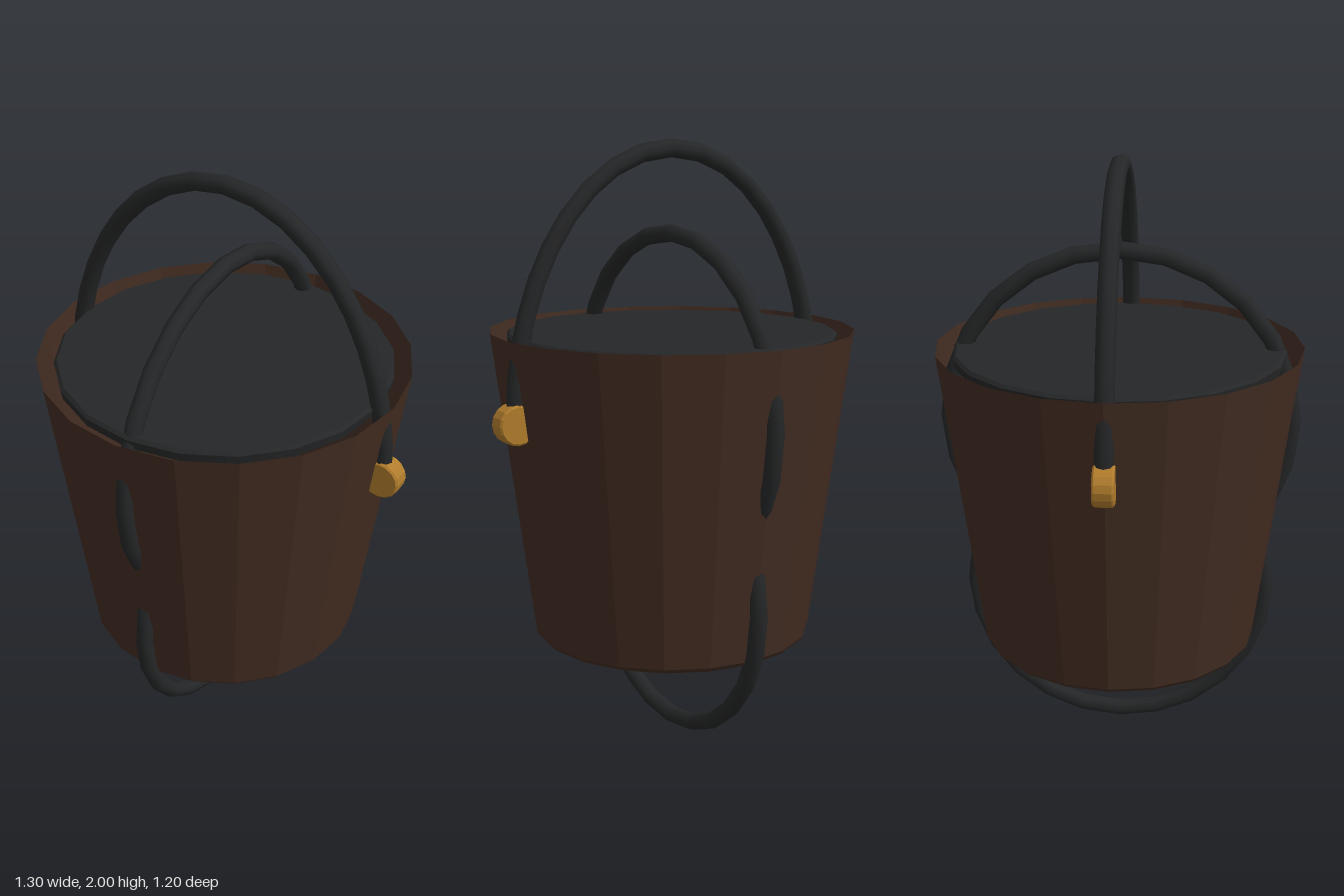
import * as THREE from 'three';

export function createModel() {
  const model = new THREE.Group();
  const wood = new THREE.MeshStandardMaterial({ color: 0x422c21, flatShading: true, side: THREE.DoubleSide });
  wood.name = 'dark brown wood';
  const iron = new THREE.MeshStandardMaterial({ color: 0x252627 });
  iron.name = 'black iron';
  const brass = new THREE.MeshStandardMaterial({ color: 0xb07c2c, flatShading: true });
  brass.name = 'brass';

  const add = (name, geometry, material) => {
    const mesh = new THREE.Mesh(geometry, material);
    mesh.name = name;
    model.add(mesh);
    return mesh;
  };

  // Tapered twenty-sided bucket with a thin open rim and a softened bottom edge
  const profile = [[0, 0.36], [0.455, 0.36], [0.467, 0.375], [0.6, 1.39]];
  add('bucket', new THREE.LatheGeometry(profile.map(([r, y]) => new THREE.Vector2(r, y)), 20), wood);

  // Dark fill disc with a narrow bevel, sitting just inside the rim
  add('fill', new THREE.CylinderGeometry(0.535, 0.545, 0.01, 20), iron).position.y = 1.38;
  add('fillEdge', new THREE.CylinderGeometry(0.545, 0.54, 0.03, 20), iron).position.y = 1.36;

  // Two hoops threaded through the bucket, front to back
  for (const [name, radius, y] of [['upperHoop', 0.57, 1.13], ['lowerHoop', 0.5, 0.53]]) {
    const hoop = add(name, new THREE.TorusGeometry(radius, 0.029, 8, 24), iron);
    hoop.rotation.y = Math.PI / 2;
    hoop.position.y = y;
  }

  // Tall arched carrying handle, side to side
  const arch = [];
  for (let i = 0; i <= 16; i++) {
    const a = (i / 16) * Math.PI;
    arch.push(new THREE.Vector3(0.582 * Math.cos(a), 1.13 + 0.84 * Math.sin(a), 0));
  }
  add('handle', new THREE.TubeGeometry(new THREE.CatmullRomCurve3(arch), 20, 0.03, 8), iron);

  // Round bevelled pivots holding the handle ends
  const disc = new THREE.Shape().absarc(0, 0, 0.059, 0, Math.PI * 2);
  const pivotGeometry = new THREE.ExtrudeGeometry(disc, {
    depth: 0.054, curveSegments: 8, bevelSize: 0.006, bevelThickness: 0.006, bevelSegments: 1,
  }).translate(0, 0, -0.027);
  for (const side of [-1, 1]) {
    add(side > 0 ? 'leftPivot' : 'rightPivot', pivotGeometry, brass).position.set(side * 0.583, 1.13, 0);
  }
  return model;
}
